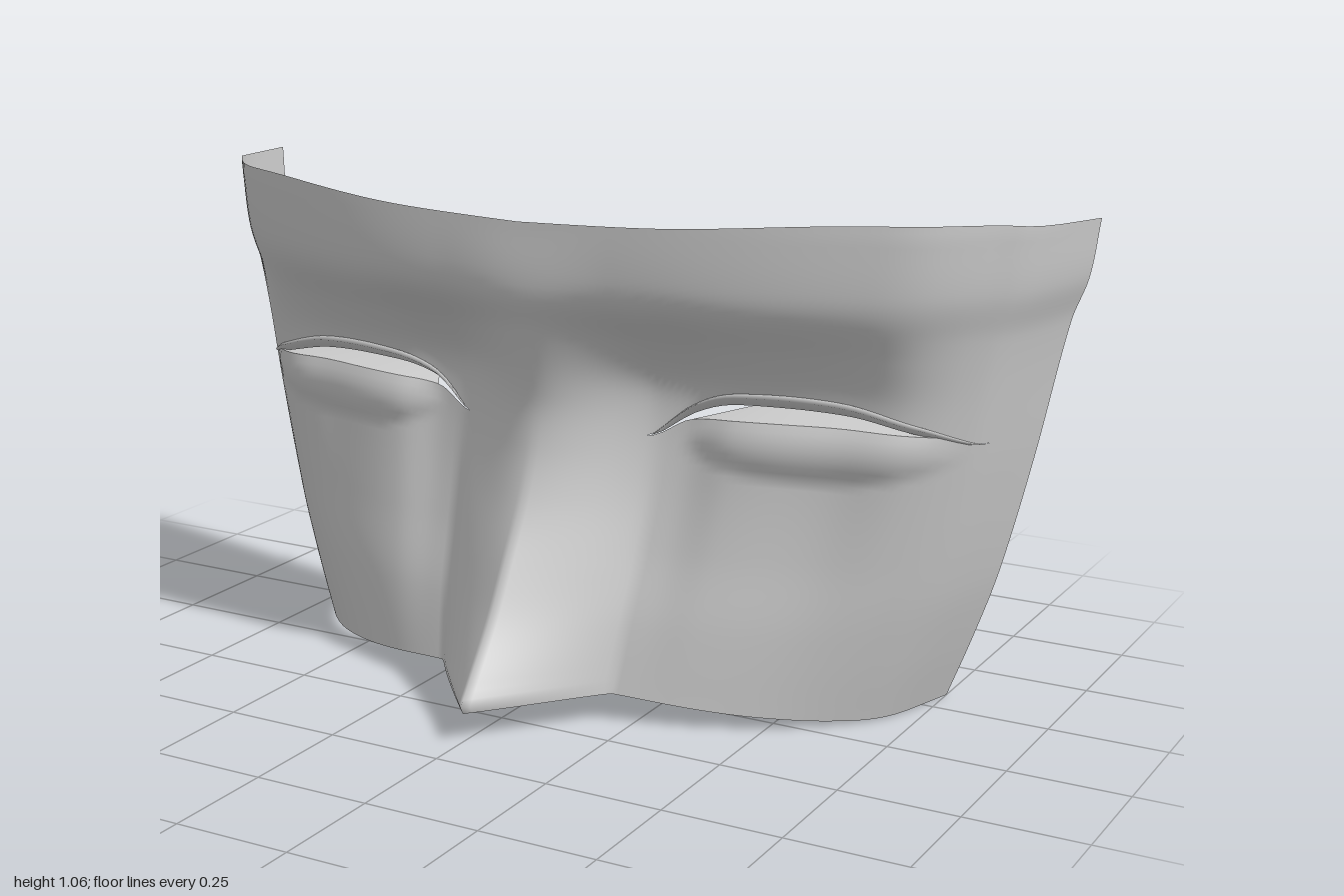
import * as THREE from 'three';
import { mergeVertices } from 'three/addons/utils/BufferGeometryUtils.js';

const material = new THREE.MeshStandardMaterial({ color: 0xcccccc, side: THREE.DoubleSide });

// Smooth curve through [t, value] points
function curve(pts) {
  const slope = (i) => {
    const a = pts[Math.max(i - 1, 0)], b = pts[Math.min(i + 1, pts.length - 1)];
    return (b[1] - a[1]) / (b[0] - a[0]);
  };
  return (t) => {
    if (t <= pts[0][0]) return pts[0][1];
    if (t >= pts[pts.length - 1][0]) return pts[pts.length - 1][1];
    let i = 0;
    while (t > pts[i + 1][0]) i++;
    const h = pts[i + 1][0] - pts[i][0], s = (t - pts[i][0]) / h;
    const s2 = s * s, s3 = s2 * s;
    return pts[i][1] * (2 * s3 - 3 * s2 + 1) + pts[i + 1][1] * (3 * s2 - 2 * s3)
      + h * (slope(i) * (s3 - 2 * s2 + s) + slope(i + 1) * (s3 - s2));
  };
}

// Outline of the shell
const halfWidth = curve([[0, 0.75], [0.14, 0.8], [0.285, 0.845], [0.53, 0.9], [0.82, 0.955], [0.91, 0.985], [1.03, 1]]);
const bottomY = curve([[0, 0.06], [0.2, 0.06], [0.5, 0.025], [0.65, 0.006], [0.75, 0]]);
const topY = curve([[0, 1.025], [0.3, 1.035], [0.6, 1.055], [0.75, 1.058], [0.9, 1.05], [1, 1.03]]);

// Depth of the shell across its width, at the top and the bottom
const topZ = curve([[0, 0.178], [0.3, 0.165], [0.5, 0.13], [0.7, 0.06], [0.8, 0], [0.9, -0.12], [0.95, -0.2], [1, -0.41]]);
const lowZ = curve([[0, 0.19], [0.25, 0.17], [0.47, 0.12], [0.67, 0.04], [0.83, -0.06], [0.93, -0.16], [1, -0.33]]);

// Eye sockets and the middle profile of brow, bridge and nose
const socketY = curve([[0, 0], [0.2, 0.3], [0.35, 0.62], [0.5, 0.87], [0.63, 1], [0.7, 0.95], [0.78, 0.6], [0.86, 0.12], [0.92, 0], [1.1, 0]]);
const socketX = curve([[0, 0.155], [0.2, 0.155], [0.33, 0.16], [0.44, 0.13], [0.67, 0.095], [0.87, 0.02], [0.95, 0], [1, 0]]);
const noseZ = curve([[0.06, 0.4], [0.075, 0.408], [0.1, 0.39], [0.22, 0.3], [0.33, 0.235], [0.45, 0.165], [0.55, 0.125], [0.65, 0.113], [0.8, 0.15], [0.88, 0.183], [1.03, 0.178]]);

// Edges of the eye openings
const lowerLid = curve([[0, 0.58], [0.22, 0.58], [0.3, 0.62], [0.55, 0.635], [0.78, 0.622], [0.85, 0.6], [0.91, 0.6]]);
const upperLid = curve([[0.22, 0.58], [0.3, 0.65], [0.4, 0.688], [0.6, 0.685], [0.75, 0.645], [0.85, 0.6]]);
const EYE_WIDTH = 0.905;
const lowerEdge = (u) => lowerLid(Math.abs(u) * EYE_WIDTH);
const upperEdge = (u) => {
  const x = Math.abs(u) * EYE_WIDTH;
  return x > 0.22 && x < 0.85 ? Math.max(upperLid(x), lowerLid(x)) : lowerLid(x);
};

// Point on the face at width fraction u and height y
function facePoint(u, y) {
  const a = Math.abs(u), x = u * halfWidth(y), ax = Math.abs(x);
  let z = THREE.MathUtils.lerp(lowZ(a), topZ(a), Math.min(y / 1.03, 1));
  z -= socketY(y) * socketX(a);
  // lower lid swelling
  const ex = (ax - 0.56) / 0.27, ey = (y - 0.585) / 0.065;
  z += 0.025 * Math.max(0, 1 - ex * ex - ey * ey);
  // nose: a sharp wedge at the tip, rounded at the bridge
  const t = Math.max(0, 1 - ax / (0.2 + 0.04 * socketY(y)));
  const round = THREE.MathUtils.smoothstep(y, 0.3, 0.65);
  const w = THREE.MathUtils.lerp(t, t * t * (3 - 2 * t), round);
  z = THREE.MathUtils.lerp(z, noseZ(y), w);
  return new THREE.Vector3(x, y, z);
}

// Surface from rows of points
function gridGeometry(patches) {
  const pos = [], index = [];
  for (const rows of patches) {
    const base = pos.length / 3, n = rows[0].length;
    rows.forEach((row) => row.forEach((p) => pos.push(p.x, p.y, p.z)));
    for (let j = 0; j < rows.length - 1; j++) for (let i = 0; i < n - 1; i++) {
      const a = base + j * n + i, b = a + n;
      index.push(a, a + 1, b + 1, a, b + 1, b);
    }
  }
  const g = new THREE.BufferGeometry();
  g.setAttribute('position', new THREE.Float32BufferAttribute(pos, 3));
  g.setIndex(index);
  const welded = mergeVertices(g, 1e-5);
  welded.computeVertexNormals();
  return welded;
}

// Rows of face points running from one edge curve to another
function facePatch(from, to, steps) {
  const rows = [], columns = 120;
  for (let j = 0; j <= steps; j++) {
    const row = [];
    for (let i = 0; i <= columns; i++) {
      const u = (i / columns) * 2 - 1;
      row.push(facePoint(u, THREE.MathUtils.lerp(from(u), to(u), j / steps)));
    }
    rows.push(row);
  }
  return rows;
}

// Points along a lid between two x positions, for one side
function lidPoints(edge, x0, x1, side, n = 32) {
  return Array.from({ length: n + 1 }, (_, i) => {
    const u = side * (x0 + (x1 - x0) * i / n) / EYE_WIDTH;
    return facePoint(u, edge(u));
  });
}

export function createModel() {
  const group = new THREE.Group();
  const add = (name, geometry) => {
    const mesh = new THREE.Mesh(geometry, material);
    mesh.name = name;
    group.add(mesh);
  };

  // Face shell, open at the eyes
  const bottom = (u) => bottomY(Math.abs(u) * 0.75);
  const top = (u) => topY(Math.abs(u));
  add('faceShell', gridGeometry([facePatch(bottom, lowerEdge, 36), facePatch(upperEdge, top, 28)]));

  for (const [label, side] of [['left', 1], ['right', -1]]) {
    // Flat sheet running back from the lower lid to a point
    const lid = lidPoints(lowerEdge, 0.3, 0.8, side);
    const apex = new THREE.Vector3(side * 0.48, 0.643, -0.29);
    const sheet = [lid, lid.map(() => apex)];
    if (side < 0) sheet.forEach((row) => row.reverse());
    add(label + 'EyeSheet', gridGeometry([sheet]));

    // Thin upper lid, overhanging the opening and tapering to its corners
    const rim = lidPoints(upperEdge, 0.22, 0.85, side);
    const offset = (dy, dz) => rim.map((p, i) => {
      const k = Math.sqrt(Math.sin(Math.PI * i / (rim.length - 1)) + 1e-6);
      return new THREE.Vector3(p.x, p.y + dy * k, p.z + dz * k);
    });
    const strip = [offset(-0.03, -0.02), offset(-0.006, 0.018), rim];
    if (side < 0) strip.forEach((row) => row.reverse());
    add(label + 'UpperLid', gridGeometry([strip]));
  }
  return group;
}
